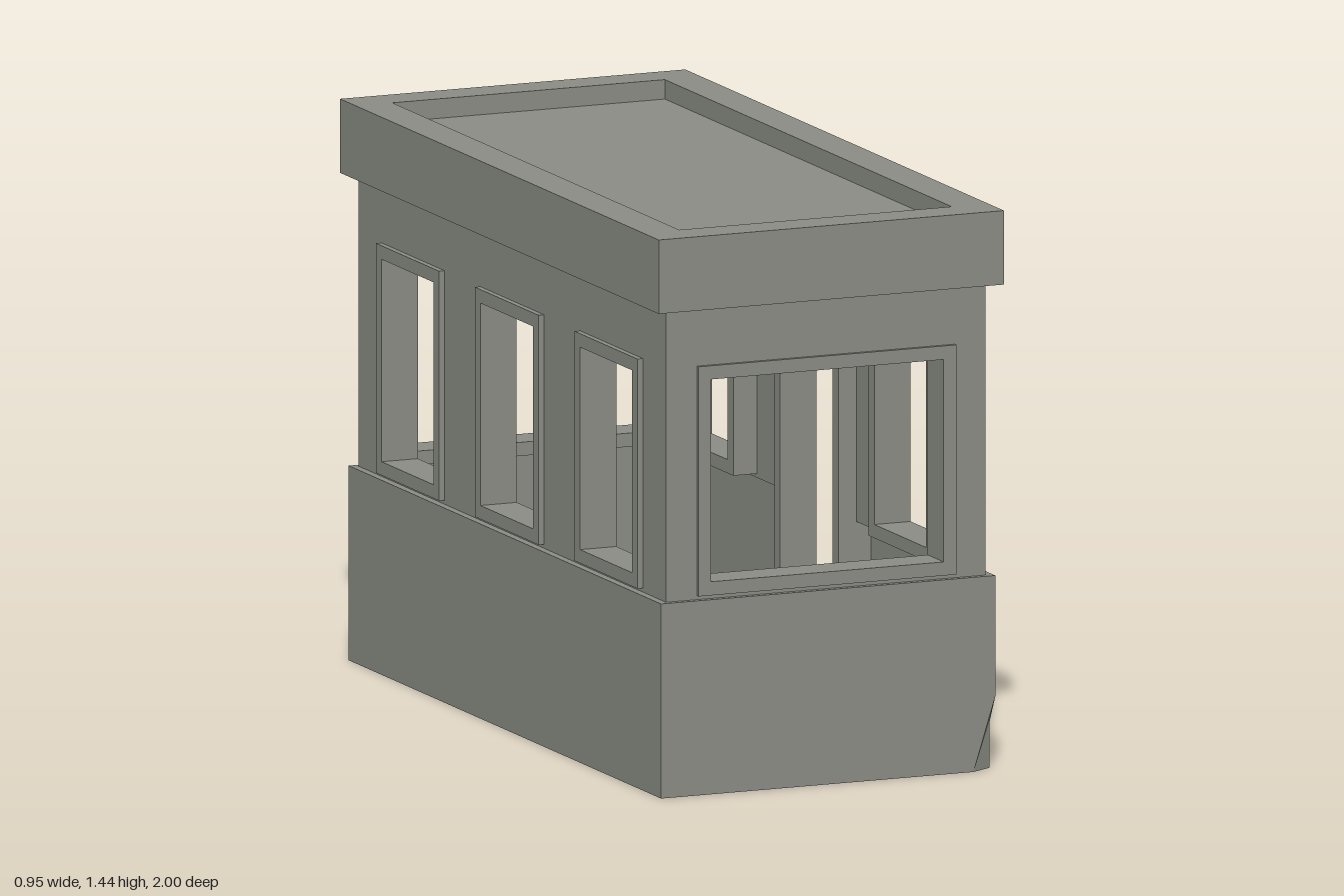
import * as THREE from 'three';

const paint = new THREE.MeshStandardMaterial({ name: 'greyPaint', color: 0x8a8c84 });
const sheet = new THREE.MeshStandardMaterial({ name: 'greySheet', color: 0x8a8c84, side: THREE.DoubleSide });

const poly = (pts, C = THREE.Shape) => new C(pts.map(([x, y]) => new THREE.Vector2(x, y)));
const rect = (x0, x1, y0, y1) => [[x0, y0], [x1, y0], [x1, y1], [x0, y1]];

// Outline with rectangular holes, extruded so that its outer face lies at z = face
function panel(name, outline, holes, depth, face) {
  const shape = poly(outline);
  holes.forEach(h => shape.holes.push(poly(rect(...h), THREE.Path)));
  const geo = new THREE.ExtrudeGeometry(shape, { depth, bevelEnabled: false });
  geo.translate(0, 0, face - depth);
  const mesh = new THREE.Mesh(geo, paint);
  mesh.name = name;
  return mesh;
}

function frame(name, [x0, x1, y0, y1], face) {
  const b = 0.035;
  return panel(name, rect(x0 - b, x1 + b, y0 - b, y1 + b), [[x0, x1, y0, y1]], 0.1, face);
}

function skirt(name, outline, face) {
  const mesh = new THREE.Mesh(new THREE.ShapeGeometry(poly(outline)), sheet);
  mesh.position.z = face;
  mesh.name = name;
  return mesh;
}

function box(name, w, h, d, x, y, z) {
  const mesh = new THREE.Mesh(new THREE.BoxGeometry(w, h, d), paint);
  mesh.position.set(x, y, z);
  mesh.name = name;
  return mesh;
}

// Every side is built facing +z and then turned into place
function side(name, angle, parts) {
  const g = new THREE.Group();
  g.name = name;
  g.add(...parts);
  g.rotation.y = angle;
  return g;
}

export function createModel() {
  const model = new THREE.Group();
  model.name = 'booth';

  const endWin = [-0.32, 0.32, 0.545, 1.065];
  const sideWins = [[-0.785, -0.46, 0.545, 1.065], [0.46, 0.785, 0.545, 1.065]];
  const midWin = [-0.165, 0.165, 0.545, 1.065];
  const door = [-0.165, 0.165, 0.095, 1.03];

  // Front and back ends
  const end = (name, angle, skirtOutline) => side(name, angle, [
    panel('endWall', rect(-0.42, 0.42, 0.5, 1.25), [endWin], 0.02, 0.965),
    frame('endWindowFrame', endWin, 0.975),
    skirt('endSkirt', skirtOutline, 0.98),
    box('endLedge', 0.92, 0.004, 0.02, 0, 0.498, 0.97)
  ]);
  model.add(end('front', 0, [[-0.46, 0], [0.4, 0], [0.46, 0.19], [0.46, 0.5], [-0.46, 0.5]]));
  model.add(end('back', Math.PI, rect(-0.46, 0.46, 0, 0.5)));

  // Plain side with three windows
  const wins = [...sideWins, midWin];
  model.add(side('rightSide', -Math.PI / 2, [
    panel('sideWall', rect(-0.965, 0.965, 0.5, 1.25), wins, 0.02, 0.44),
    ...wins.map(w => frame('sideWindowFrame', w, 0.455)),
    skirt('sideSkirt', rect(-0.98, 0.98, 0, 0.5), 0.46),
    box('sideLedge', 1.92, 0.004, 0.02, 0, 0.498, 0.45)
  ]));

  // Side with the doorway; its wall and skirt are notched round the door
  const d = 0.17;
  model.add(side('leftSide', Math.PI / 2, [
    panel('doorWall', [[-0.965, 0.5], [-d, 0.5], [-d, 1.035], [d, 1.035], [d, 0.5],
      [0.965, 0.5], [0.965, 1.25], [-0.965, 1.25]], sideWins, 0.02, 0.44),
    ...sideWins.map(w => frame('sideWindowFrame', w, 0.455)),
    frame('doorFrame', door, 0.47),
    skirt('doorSkirt', [[-0.945, 0], [0.98, 0], [0.98, 0.5], [d, 0.5], [d, 0.09], [-d, 0.09],
      [-d, 0.5], [-0.98, 0.5], [-0.98, 0.19], [-0.945, 0.12]], 0.46),
    ...[-1, 1].map(s => box('sideLedge', 0.79, 0.004, 0.02, s * 0.565, 0.498, 0.45))
  ]));

  // Dented lower corner
  const dent = new THREE.BufferGeometry();
  dent.setAttribute('position', new THREE.Float32BufferAttribute([
    0.4, 0, 0.98, 0.46, 0, 0.945, 0.46, 0.12, 0.945,
    0.4, 0, 0.98, 0.46, 0.12, 0.945, 0.46, 0.19, 0.98], 3));
  dent.computeVertexNormals();
  const corner = new THREE.Mesh(dent, sheet);
  corner.name = 'dentedCorner';
  model.add(corner);

  // Roof: raised rim round a sunken deck
  const rim = panel('roofRim', rect(-0.475, 0.475, -1, 1), [[-0.375, 0.375, -0.9, 0.9]], 0.19, 0);
  rim.rotation.x = -Math.PI / 2;
  rim.position.y = 1.44;
  model.add(rim, box('roofDeck', 0.75, 0.14, 1.8, 0, 1.32, 0));

  return model;
}
